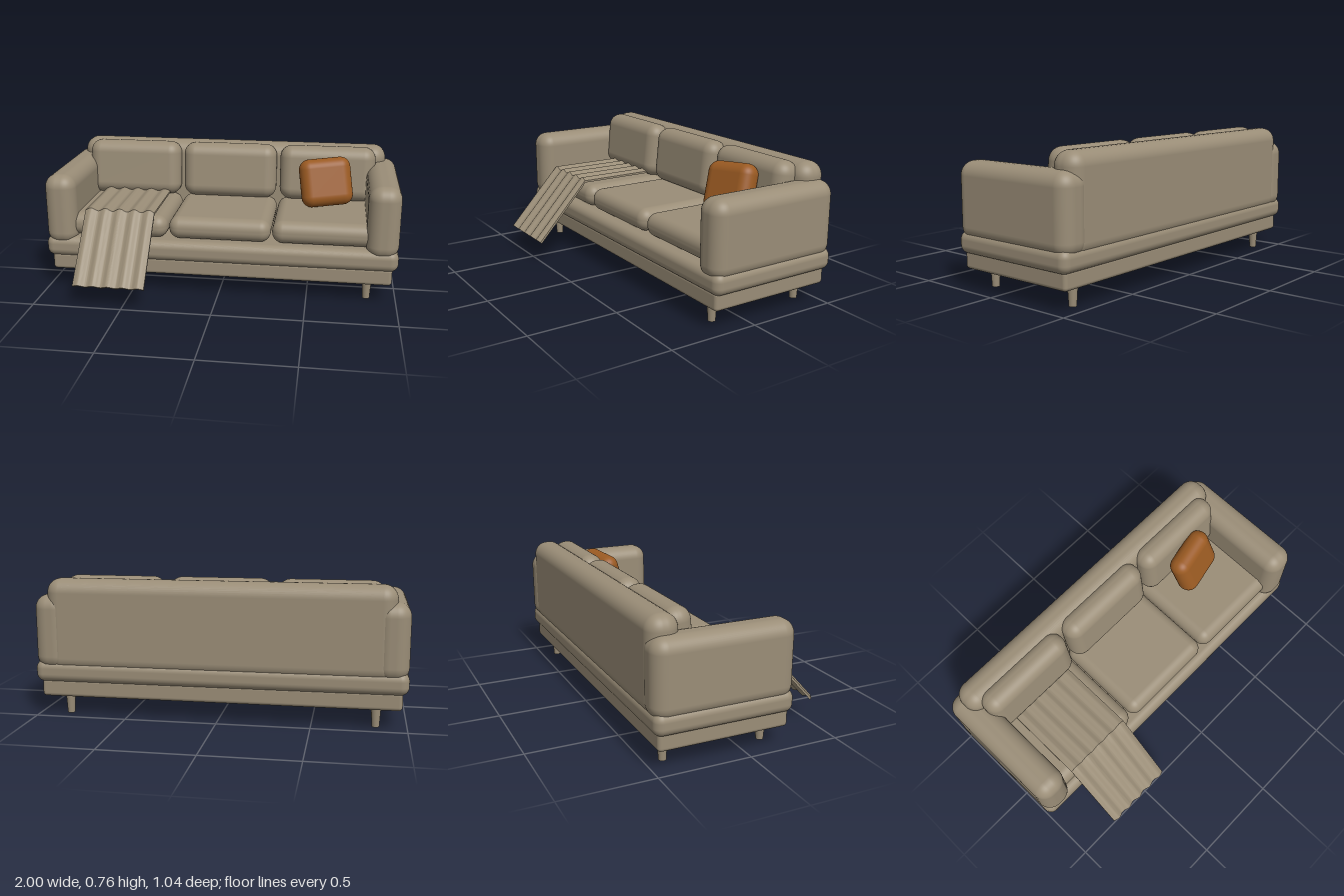
import * as THREE from 'three';
import { RoundedBoxGeometry } from 'three/addons/geometries/RoundedBoxGeometry.js';
import { toCreasedNormals } from 'three/addons/utils/BufferGeometryUtils.js';

export function createModel() {
  const sofa = new THREE.Group();
  sofa.name = 'sofa';
  const fabric = new THREE.MeshStandardMaterial({ name: 'taupe fabric', color: 0x9a8d77 });
  const rust = new THREE.MeshStandardMaterial({ name: 'rust fabric', color: 0x9a5a22 });

  function add(name, geometry, material, x, y, z) {
    const mesh = new THREE.Mesh(geometry, material);
    mesh.name = name;
    mesh.position.set(x, y, z);
    sofa.add(mesh);
    return mesh;
  }
  // Soft-edged block given by its size, corner radius and centre
  const block = (name, w, h, d, r, x, y, z, material = fabric) =>
    add(name, new RoundedBoxGeometry(w, h, d, 6, r), material, x, y, z);

  // Frame
  block('plinth', 1.94, 0.1, 0.71, 0.02, 0, 0.157, -0.13);
  block('deck', 2, 0.12, 0.755, 0.045, 0, 0.25, -0.1325);
  block('backrest', 1.86, 0.505, 0.17, 0.075, 0, 0.5025, -0.425);

  // Arms and tapered legs
  for (const side of [-1, 1]) {
    const label = side > 0 ? 'left' : 'right';
    block(label + 'Arm', 0.18, 0.41, 0.765, 0.075, side * 0.909, 0.463, -0.1325);
    for (const z of [0.145, -0.405]) {
      add(label + (z > 0 ? 'FrontLeg' : 'BackLeg'),
        new THREE.CylinderGeometry(0.027, 0.02, 0.12, 20), fabric, side * 0.837, 0.06, z);
    }
  }

  // Three seat cushions with leaning back cushions
  for (let i = -1; i <= 1; i++) {
    block('seatCushion', 0.58, 0.13, 0.56, 0.06, i * 0.588, 0.375, -0.073);
    const back = block('backCushion', 0.565, 0.325, 0.15, 0.07, i * 0.587, 0.598, -0.312);
    back.rotation.x = -0.1;
  }

  // Throw pillow, turned and leaning back
  const pillow = block('throwPillow', 0.3, 0.28, 0.125, 0.06, 0.583, 0.585, -0.158, rust);
  pillow.rotation.set(-0.32, 0.16, 0.14);

  // Rippled blanket: flat over the seat, then sloping out past the front
  const blanket = new THREE.BoxGeometry(0.4, 1, 1, 80, 1, 24);
  const p = blanket.attributes.position;
  const drop = new THREE.Vector2(0.31, -0.338);
  const slopeNormal = new THREE.Vector2(-drop.y, drop.x).normalize();
  for (let i = 0; i < p.count; i++) {
    const x = p.getX(i);
    const v = (p.getZ(i) + 0.5) * 2;
    const s = Math.max(0, v - 1);
    const offset = p.getY(i) * 0.012 + 0.008 * Math.cos(x * Math.PI * 2 / 0.084);
    const nz = v > 1.001 ? slopeNormal.x : 0;
    const ny = v > 1.001 ? slopeNormal.y : 1;
    p.setXYZ(i, x,
      0.467 + drop.y * s + ny * offset,
      -0.25 + 0.45 * Math.min(v, 1) + drop.x * s + nz * offset);
  }
  add('throwBlanket', toCreasedNormals(blanket, 0.5), fabric, -0.565, 0, 0);

  return sofa;
}
